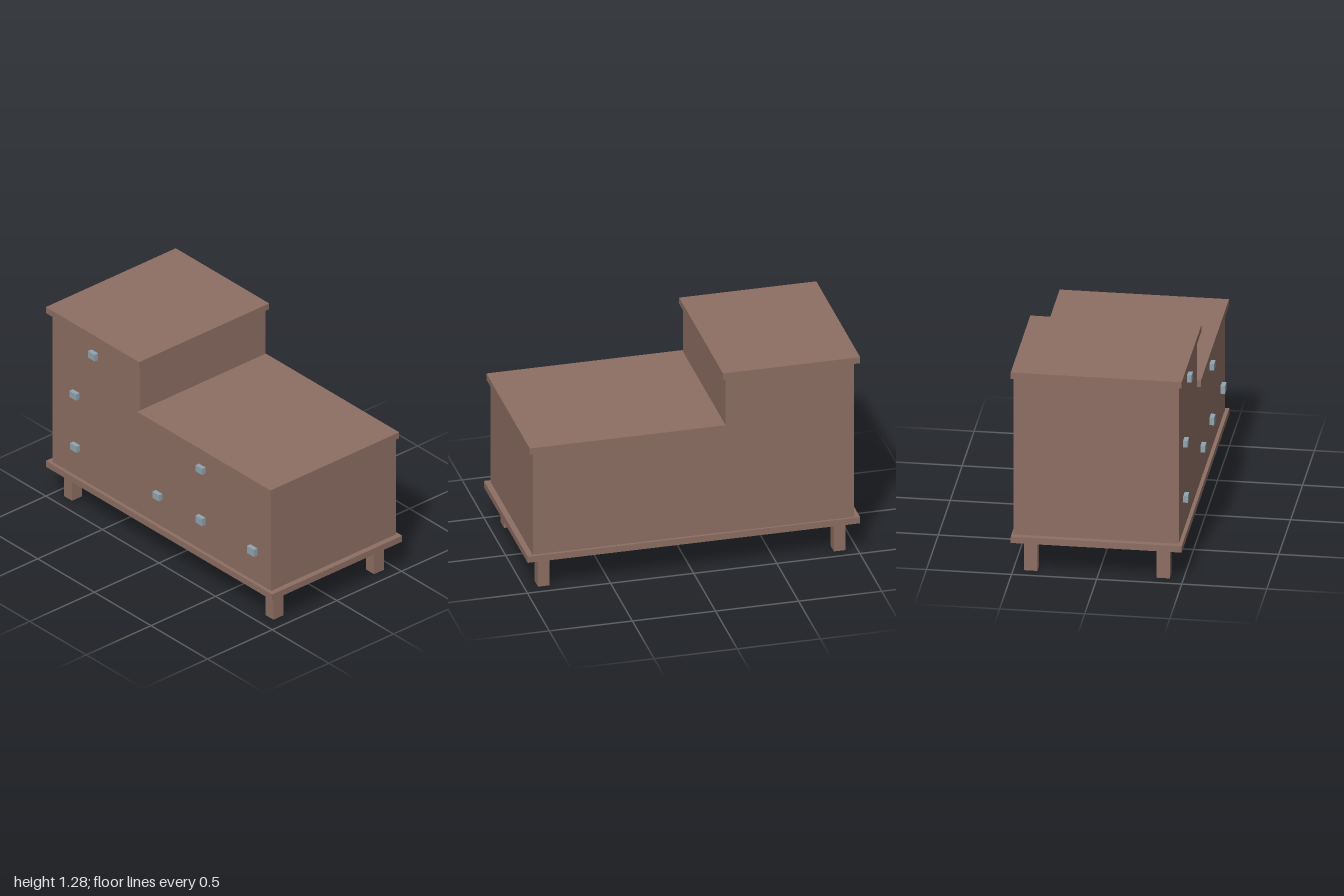
import * as THREE from 'three';

export function createModel() {
  const model = new THREE.Group();
  model.name = 'steppedDresser';

  const wood = new THREE.MeshStandardMaterial({ color: 0x8d6e63 });
  wood.name = 'brown wood';
  const metal = new THREE.MeshStandardMaterial({ color: 0x90a4ae });
  metal.name = 'blue grey metal';

  // Box given by its minimum and maximum along each axis
  function box(name, material, [x0, x1], [y0, y1], [z0, z1]) {
    const mesh = new THREE.Mesh(new THREE.BoxGeometry(x1 - x0, y1 - y0, z1 - z0), material);
    mesh.position.set((x0 + x1) / 2, (y0 + y1) / 2, (z0 + z1) / 2);
    mesh.name = name;
    model.add(mesh);
  }

  // Carcass: base board, low chest and tall section
  box('baseBoard', wood, [-1, 1], [0.2, 0.24], [-0.505, 0.5]);
  box('lowChest', wood, [-0.195, 0.965], [0.24, 0.9], [-0.488, 0.478]);
  box('tallChest', wood, [-0.965, -0.193], [0.24, 1.245], [-0.492, 0.478]);

  // Overhanging tops
  box('lowTop', wood, [-0.195, 0.985], [0.9, 0.94], [-0.495, 0.5]);
  box('tallTop', wood, [-1, -0.175], [1.245, 1.285], [-0.505, 0.5]);

  // Four square legs
  for (const [side, x] of [['right', -0.895], ['left', 0.885]]) {
    for (const [end, z] of [['Front', 0.381], ['Back', -0.397]]) {
      box(side + end + 'Leg', wood, [x - 0.035, x + 0.035], [0, 0.2], [z - 0.039, z + 0.039]);
    }
  }

  // Drawer pulls: x centre, y centre, width, height
  const pulls = [
    [-0.592, 1.138, 0.058, 0.045],
    [-0.757, 0.795, 0.058, 0.042],
    [-0.752, 0.442, 0.058, 0.042],
    [-0.025, 0.442, 0.058, 0.042],
    [0.357, 0.795, 0.058, 0.042],
    [0.357, 0.45, 0.058, 0.048],
    [0.813, 0.45, 0.062, 0.048],
  ];
  pulls.forEach(([x, y, w, h], i) => {
    box('drawerPull' + (i + 1), metal, [x - w / 2, x + w / 2], [y - h / 2, y + h / 2], [0.47, 0.505]);
  });

  return model;
}
